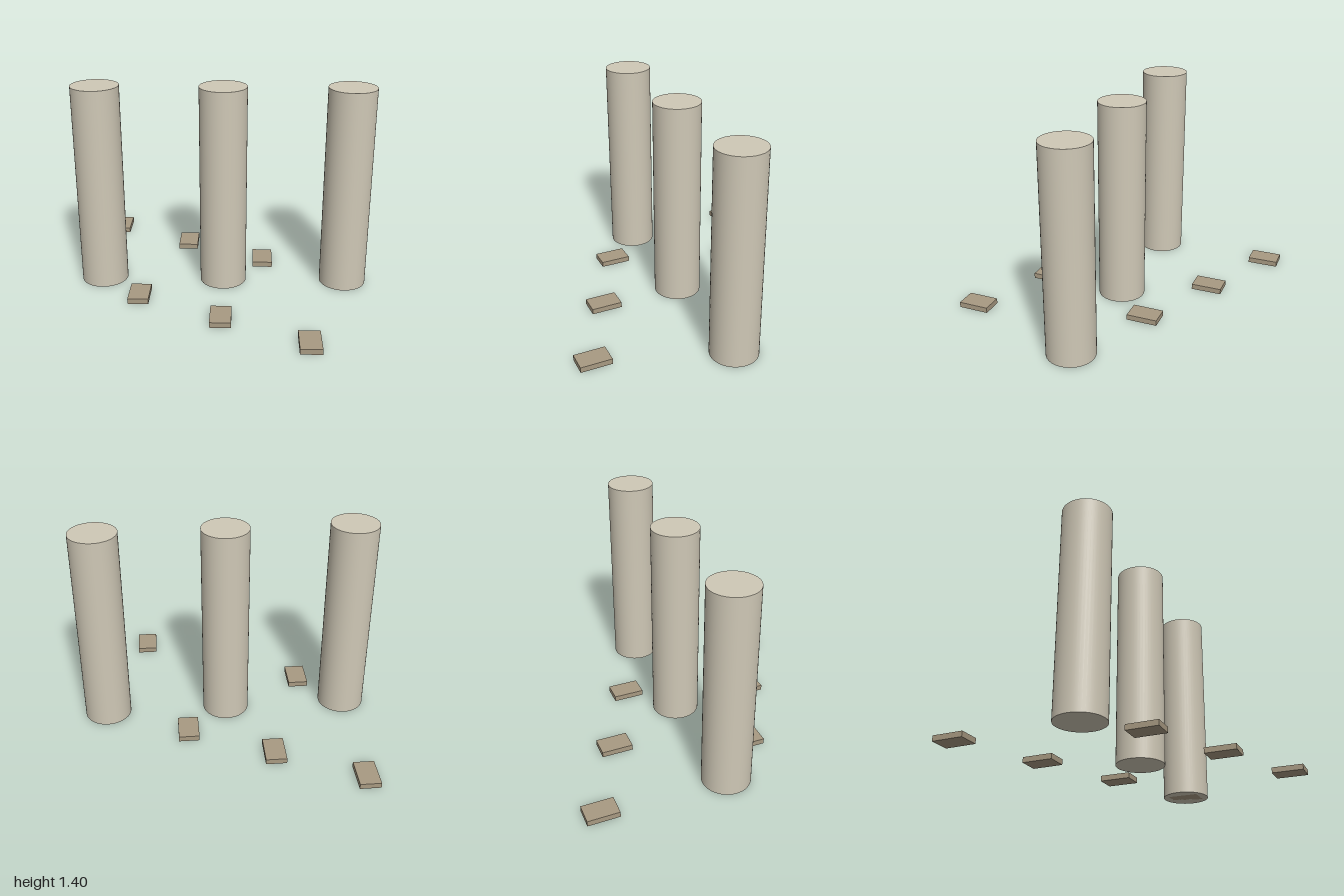
import * as THREE from 'three';

export function createModel() {
  const model = new THREE.Group();
  const pillarMat = new THREE.MeshStandardMaterial({ color: 0xcfc8b6 });
  const slabMat = new THREE.MeshStandardMaterial({ color: 0xa89a82 });

  const add = (name, geometry, material, x, y, z) => {
    const mesh = new THREE.Mesh(geometry, material);
    mesh.name = name;
    mesh.position.set(x, y, z);
    model.add(mesh);
  };

  // Row of three round pillars
  const pillarHeight = 1.4;
  const pillarGeo = new THREE.CylinderGeometry(0.16, 0.16, pillarHeight, 48);
  ['rightPillar', 'middlePillar', 'leftPillar'].forEach((name, i) =>
    add(name, pillarGeo, pillarMat, (i - 1) * 0.84, pillarHeight / 2, 0));

  // Stepping slabs, evenly spaced from back to front; every row moves two
  // columns across a seven-column grid and wraps around at the edge
  const step = 0.28;
  const slabHeight = 0.037;
  const slabGeo = new THREE.BoxGeometry(0.14, slabHeight, 0.21);
  for (let row = 0; row < 7; row++) {
    const column = (row * 2) % 7;
    add(`slab${row + 1}`, slabGeo, slabMat, (column - 3) * step, slabHeight / 2, (row - 3) * step);
  }

  return model;
}
